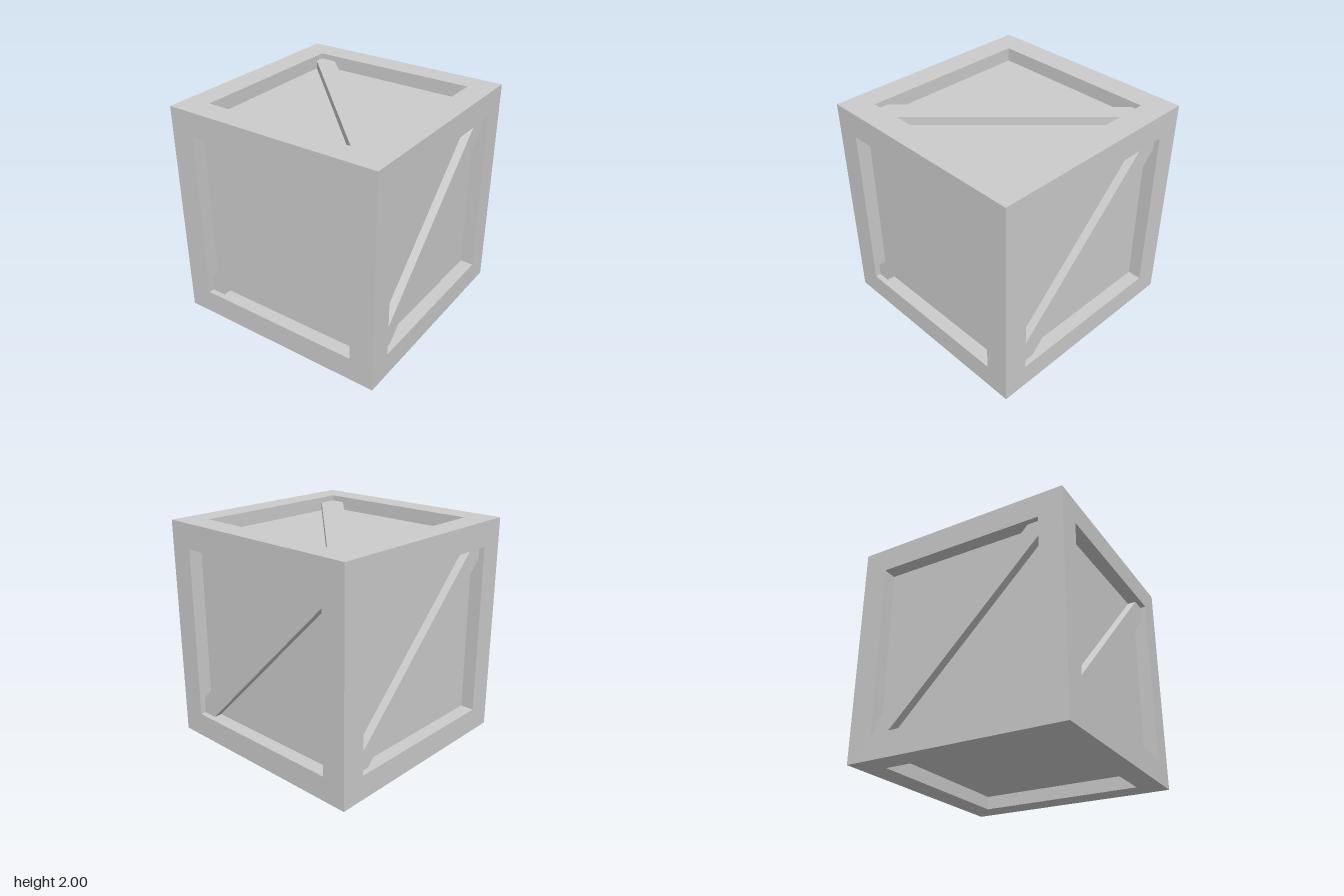
import * as THREE from 'three';

const OPEN = 0.778;   // half size of the opening in each face
const PANEL = 0.875;  // distance of the sunken panel from the centre
const BRACE = 0.95;   // distance of the brace's outer face from the centre

const material = new THREE.MeshStandardMaterial({ color: 0xcccccc, flatShading: true });

function part(name, geometry) {
  const mesh = new THREE.Mesh(geometry, material);
  mesh.name = name;
  return mesh;
}

// Square lathe facing +z from a profile of [half side, height], listed from outside to inside
function squareLathe(profile) {
  const points = profile.map(([half, height]) => new THREE.Vector2(half * Math.SQRT2, height));
  return new THREE.LatheGeometry(points, 4, Math.PI / 4).rotateX(Math.PI / 2);
}

// Diagonal plank that fills two opposite corners; trims are its reach along the opening's sides
function braceGeometry([left, top, bottom, right], flip) {
  const q = OPEN;
  const outline = [
    [-q, -q], [-q + bottom, -q], [q, q - right],
    [q, q], [q - top, q], [-q, -q + left],
  ].map(([x, y]) => new THREE.Vector2(x, flip ? -y : y));
  return new THREE.ExtrudeGeometry(new THREE.Shape(outline), { depth: BRACE - PANEL, bevelEnabled: false })
    .translate(0, 0, PANEL);
}

export function createModel() {
  const crate = new THREE.Group();
  crate.name = 'crate';

  const frame = squareLathe([[1, 1], [OPEN, 1], [OPEN, PANEL]]);
  const panel = squareLathe([[OPEN, PANEL], [0, PANEL]]);
  const wide = braceGeometry([0.15, 0.136, 0.136, 0.136], false);
  const narrow = braceGeometry([0.115, 0.123, 0.115, 0.115], false);
  const lid = braceGeometry([0.088, 0.131, 0.148, 0.168], true);

  // Six faces close the cube; the bottom has no brace
  const q = Math.PI / 2;
  const faces = [
    ['front', 0, 0, wide],
    ['left', 0, q, narrow],
    ['back', 0, 2 * q, wide],
    ['right', 0, -q, narrow],
    ['top', -q, 0, lid],
    ['bottom', q, 0, null],
  ];
  for (const [name, rx, ry, brace] of faces) {
    const face = new THREE.Group();
    face.name = name + 'Face';
    face.add(part(name + 'Frame', frame), part(name + 'Panel', panel));
    if (brace) face.add(part(name + 'Brace', brace));
    face.rotation.set(rx, ry, 0);
    face.position.y = 1;
    crate.add(face);
  }
  return crate;
}
